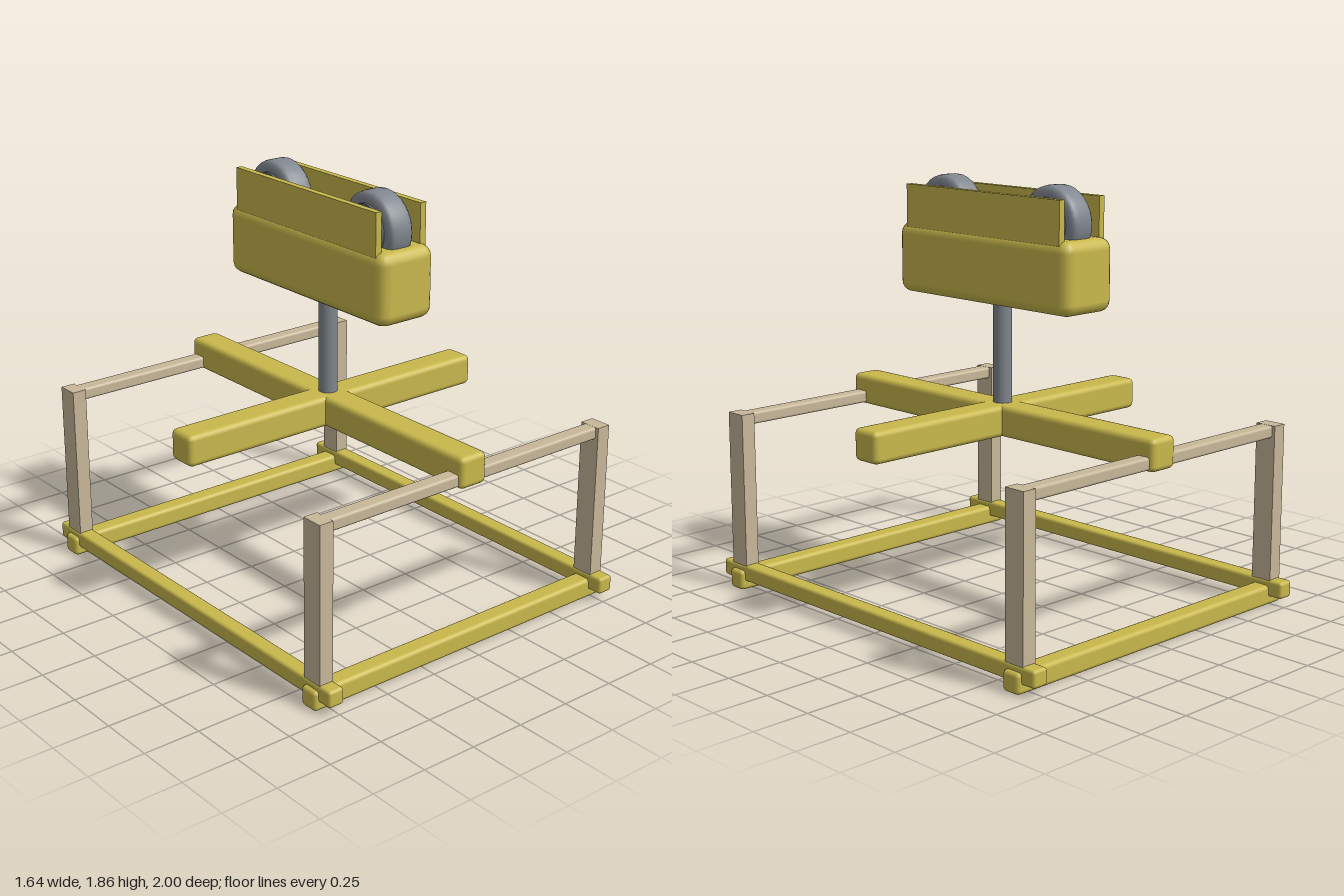
import * as THREE from 'three';
import { RoundedBoxGeometry } from 'three/addons/geometries/RoundedBoxGeometry.js';

const mat = (name, color) => {
  const m = new THREE.MeshStandardMaterial({ color });
  m.name = name;
  return m;
};

export function createModel() {
  const model = new THREE.Group();
  model.name = 'rollerStand';
  const yellow = mat('yellowPaint', 0xc9b84c);
  const beige = mat('beigePaint', 0xc8b89a);
  const steel = mat('steel', 0x80868e);
  const dark = mat('darkHub', 0x585d65);

  const add = (name, geometry, material, x, y, z) => {
    const mesh = new THREE.Mesh(geometry, material);
    mesh.name = name;
    mesh.position.set(x, y, z);
    model.add(mesh);
    return mesh;
  };
  // Bar with softened edges; r = 0 gives a sharp box
  const bar = (name, material, size, pos, r = 0) => add(
    name,
    r ? new RoundedBoxGeometry(...size, 2, r) : new THREE.BoxGeometry(...size),
    material, ...pos);

  for (const s of [-1, 1]) {
    // Ground frame
    bar('baseSideRail', yellow, [0.075, 0.075, 2], [s * 0.763, 0.078, 0], 0.014);
    bar('baseCrossRail', yellow, [1.64, 0.09, 0.09], [0, 0.045, s * 0.887], 0.018);

    // Upright hoops
    bar('hoopRail', beige, [1.5, 0.055, 0.07], [0, 0.782, s * 0.885], 0.012);
    for (const t of [-1, 1]) {
      bar('hoopPost', beige, [0.066, 0.73, 0.1], [t * 0.763, 0.445, s * 0.885]);
    }

    // Cheek plates on the roller head
    bar('cheekPlate', yellow, [0.03, 0.225, 0.94], [s * 0.119, 1.7025, 0]);
  }

  // Upper cross beams
  bar('longBeam', yellow, [0.14, 0.14, 1.88], [0, 0.815, 0], 0.024);
  bar('crossBeam', yellow, [1.58, 0.14, 0.14], [0, 0.815, 0], 0.024);

  // Column and roller head
  add('column', new THREE.CylinderGeometry(0.042, 0.042, 0.52, 24), steel, 0, 1.12, 0);
  bar('headBody', yellow, [0.288, 0.315, 1.05], [0, 1.488, 0], 0.05);

  // Rollers: rounded tyre on a slightly wider hub
  const tyreProfile = [[0.001, -0.062], [0.125, -0.062], [0.147, -0.058], [0.158, -0.045],
    [0.161, -0.025], [0.161, 0.025], [0.158, 0.045], [0.147, 0.058], [0.125, 0.062], [0.001, 0.062]]
    .map(([r, y]) => new THREE.Vector2(r, y));
  for (const s of [-1, 1]) {
    const tyre = add('rollerTyre', new THREE.LatheGeometry(tyreProfile, 32), steel, 0, 1.699, s * 0.326);
    const hub = add('rollerHub', new THREE.CylinderGeometry(0.112, 0.112, 0.152, 32), dark, 0, 1.699, s * 0.326);
    tyre.rotation.z = hub.rotation.z = Math.PI / 2;
  }
  return model;
}
